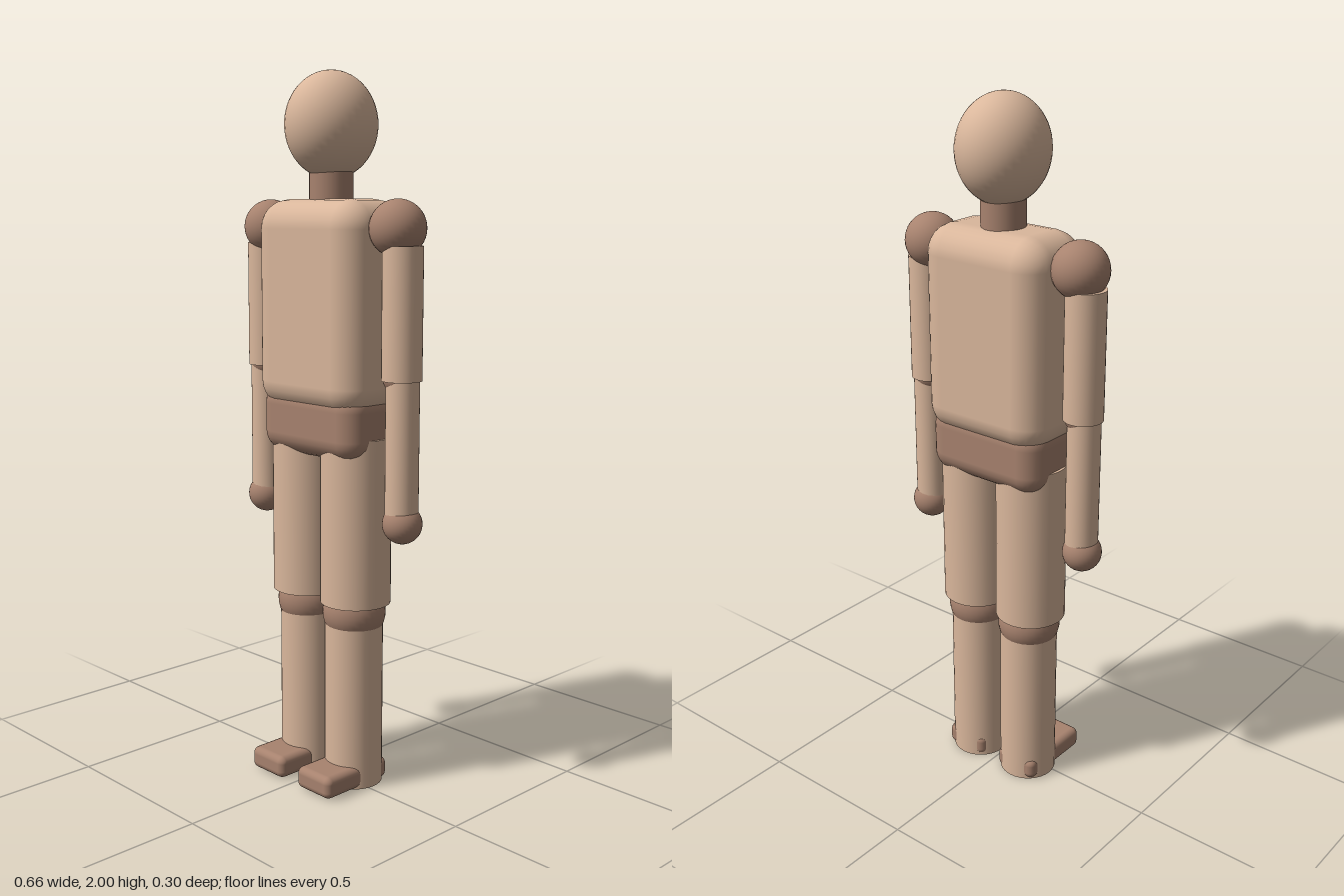
import * as THREE from 'three';
import { RoundedBoxGeometry } from 'three/addons/geometries/RoundedBoxGeometry.js';

const Z = -0.018; // depth of the body axis

export function createModel() {
  const wood = new THREE.MeshStandardMaterial({ name: 'pale wood', color: 0xdab79c });
  const joint = new THREE.MeshStandardMaterial({ name: 'dark wood', color: 0xa8836f });
  const model = new THREE.Group();
  model.name = 'figure';

  function add(name, geometry, material, x, y, z = Z, parent = model) {
    const mesh = new THREE.Mesh(geometry, material);
    mesh.name = name;
    mesh.position.set(x, y, z);
    parent.add(mesh);
    return mesh;
  }
  const ball = (r) => new THREE.SphereGeometry(r, 32, 20);
  const rod = (r, bottom, top) => new THREE.CylinderGeometry(r, r, top - bottom, 32)
    .translate(0, (top + bottom) / 2, 0);

  // Head, neck and trunk
  add('head', new THREE.SphereGeometry(1, 40, 28).scale(0.121, 0.145, 0.135), wood, 0, 1.855);
  add('neck', rod(0.061, 1.62, 1.76), joint, 0, 0);
  add('torso', new RoundedBoxGeometry(0.402, 0.585, 0.25, 3, 0.08), wood, 0, 1.3645);
  add('pelvis', new RoundedBoxGeometry(0.38, 0.2, 0.22, 3, 0.06), joint, 0, 1.047);

  // Arms and legs, mirrored
  for (const [side, s] of [['left', 1], ['right', -1]]) {
    const arm = new THREE.Group();
    arm.name = side + 'Arm';
    model.add(arm);
    add('shoulder', ball(0.077), joint, s * 0.251, 1.58, Z, arm);
    add('upperArm', rod(0.055, 1.18, 1.535), wood, s * 0.27, 0, Z, arm);
    add('elbow', ball(0.05), joint, s * 0.267, 1.19, Z, arm);
    add('forearm', rod(0.046, 0.81, 1.19), wood, s * 0.274, 0, Z, arm);
    add('hand', ball(0.055), joint, s * 0.277, 0.79, Z, arm);

    const leg = new THREE.Group();
    leg.name = side + 'Leg';
    model.add(leg);
    add('thigh', rod(0.1, 0.535, 1.01), wood, s * 0.099, 0, Z, leg);
    add('knee', ball(0.09), joint, s * 0.094, 0.505, Z, leg);
    add('shin', rod(0.083, 0, 0.48), wood, s * 0.093, 0, Z, leg);
    add('foot', new RoundedBoxGeometry(0.135, 0.064, 0.24, 3, 0.02), joint, s * 0.0965, 0.034, 0.031, leg);
  }
  return model;
}
